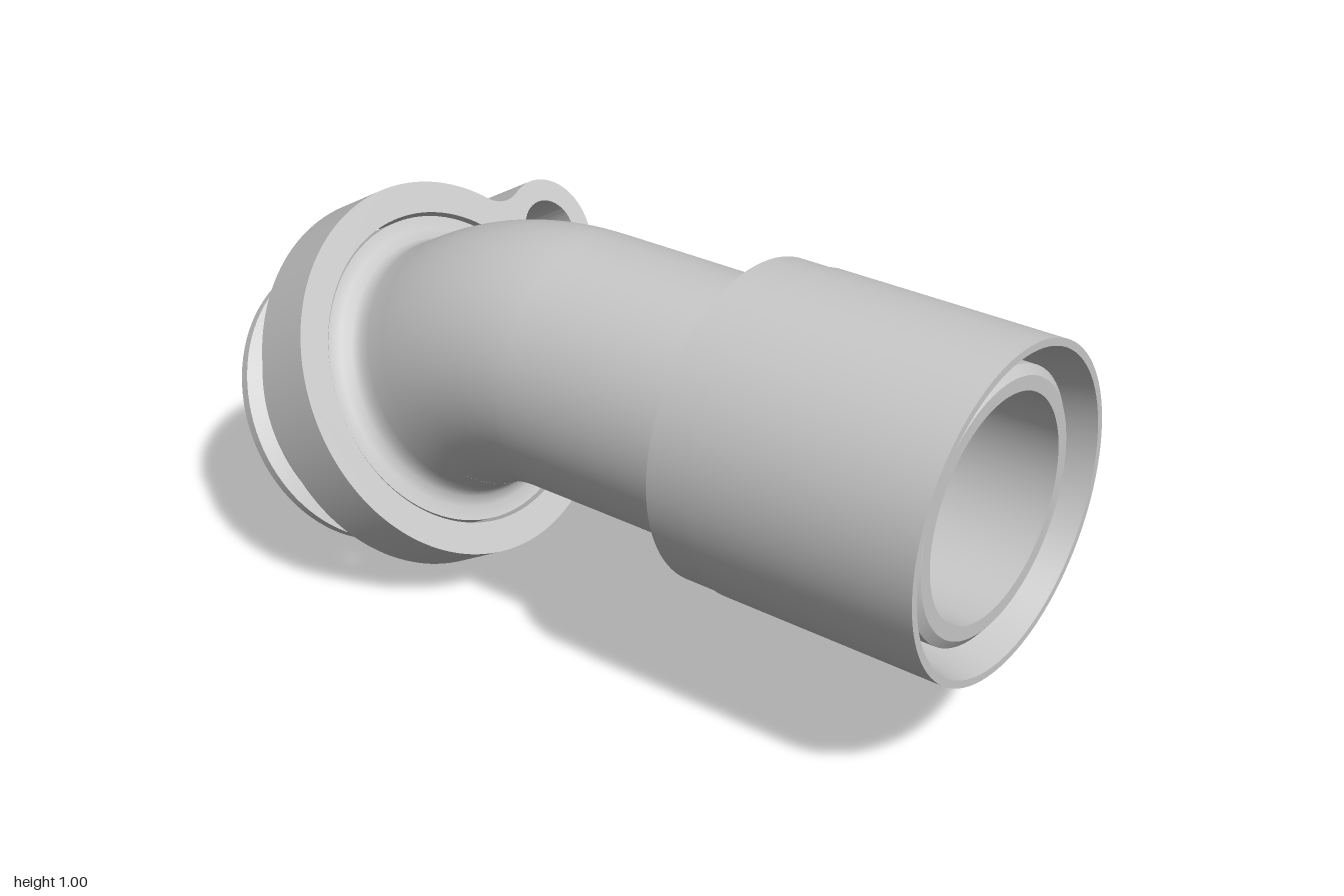
import * as THREE from 'three';
import { toCreasedNormals } from 'three/addons/utils/BufferGeometryUtils.js';

const SEGMENTS = 96;
const CREASE = 0.6;
const AXIS_Y = 0.633, AXIS_Z = 0.07;       // centre line of the straight pipe
const OUTER = 0.3, BORE = 0.248;           // pipe radii
const BEND_X = -0.1, BEND_R = 0.6, BEND = Math.PI / 6;

const grey = new THREE.MeshStandardMaterial({ color: 0xc8c8c8, side: THREE.DoubleSide });
grey.name = 'light grey';

function part(name, geometry) {
  const mesh = new THREE.Mesh(geometry, grey);
  mesh.name = name;
  return mesh;
}

// Turned part from [radius, distance along axis] pairs
function turned(name, profile) {
  const points = profile.map(([r, s]) => new THREE.Vector2(r, s));
  return part(name, toCreasedNormals(new THREE.LatheGeometry(points, SEGMENTS), CREASE));
}

// Ring with a round lug blended into it by fillets
function clampGeometry() {
  const ringR = 0.45, lugR = 0.135, fillet = 0.09;
  const lug = new THREE.Vector2(-0.19, 0.455);
  const d = lug.length(), phi = lug.angle();
  const a = ringR + fillet, b = lugR + fillet;
  const alpha = Math.acos((a * a + d * d - b * b) / (2 * a * d));
  const centre = (t) => new THREE.Vector2(a * Math.cos(t), a * Math.sin(t));
  const toward = (from, to) => Math.atan2(to.y - from.y, to.x - from.x);
  const c1 = centre(phi - alpha), c2 = centre(phi + alpha);

  const shape = new THREE.Shape();
  shape.absarc(0, 0, ringR, phi + alpha, phi - alpha + 2 * Math.PI, false);
  shape.absarc(c1.x, c1.y, fillet, phi - alpha + Math.PI, toward(c1, lug), true);
  shape.absarc(lug.x, lug.y, lugR, toward(lug, c1), toward(lug, c2), false);
  shape.absarc(c2.x, c2.y, fillet, toward(c2, lug), phi + alpha + Math.PI, true);

  for (const [x, y, r] of [[0, 0, 0.375], [lug.x, lug.y, 0.081]]) {
    const hole = new THREE.Path();
    hole.absarc(x, y, r, 0, 2 * Math.PI, true);
    shape.holes.push(hole);
  }
  const geometry = new THREE.ExtrudeGeometry(shape, { depth: 0.152, bevelEnabled: false, curveSegments: 64 });
  geometry.rotateX(-Math.PI / 2);
  return toCreasedNormals(geometry, CREASE);
}

export function createModel() {
  const model = new THREE.Group();
  model.name = 'pipeElbow';

  // Straight pipe and its socket sleeve, lying along x
  const straight = new THREE.Group();
  straight.name = 'straightEnd';
  straight.position.set(0, AXIS_Y, AXIS_Z);
  straight.rotation.z = -Math.PI / 2;
  straight.add(turned('straightPipe', [
    [OUTER, BEND_X], [OUTER, 0.95], [0.28, 0.965], [BORE, 0.965], [BORE, BEND_X],
  ]));
  straight.add(turned('sleeve', [
    [OUTER, 0.36], [0.364, 0.36], [0.364, 0.46], [0.367, 0.46], [0.367, 1],
    [0.35, 1], [0.32, 0.86], [OUTER, 0.86],
  ]));
  model.add(straight);

  // Thirty degree bend, outer wall and bore
  for (const [name, radius] of [['bendWall', OUTER], ['bendBore', BORE]]) {
    const bend = part(name, new THREE.TorusGeometry(BEND_R, radius, SEGMENTS, 24, BEND));
    bend.rotation.z = Math.PI / 2;
    bend.position.set(BEND_X, AXIS_Y - BEND_R, AXIS_Z);
    model.add(bend);
  }

  // Angled end: ridged spigot, collar and clamp ring, measured from its open face
  const angled = new THREE.Group();
  angled.name = 'angledEnd';
  angled.position.set(-0.82, 0.31, AXIS_Z);
  angled.rotation.z = -Math.PI / 3;
  angled.add(turned('ridgedSpigot', [
    [BORE, 0.485], [BORE, 0.3], [0.29, 0],
    [0.35, 0], [0.357, 0.006], [0.357, 0.028], [0.315, 0.04],
    [0.315, 0.08], [0.354, 0.088], [0.354, 0.115], [0.315, 0.127],
    [0.315, 0.177], [0.358, 0.187], [0.358, 0.215], [0.32, 0.228],
    [0.368, 0.24], [0.368, 0.372], [0.335, 0.372],
    [0.312, 0.385], [0.302, 0.405], [OUTER, 0.43], [OUTER, 0.485],
  ]));
  const clamp = part('clampRing', clampGeometry());
  clamp.position.y = 0.229;
  angled.add(clamp);
  model.add(angled);

  return model;
}
